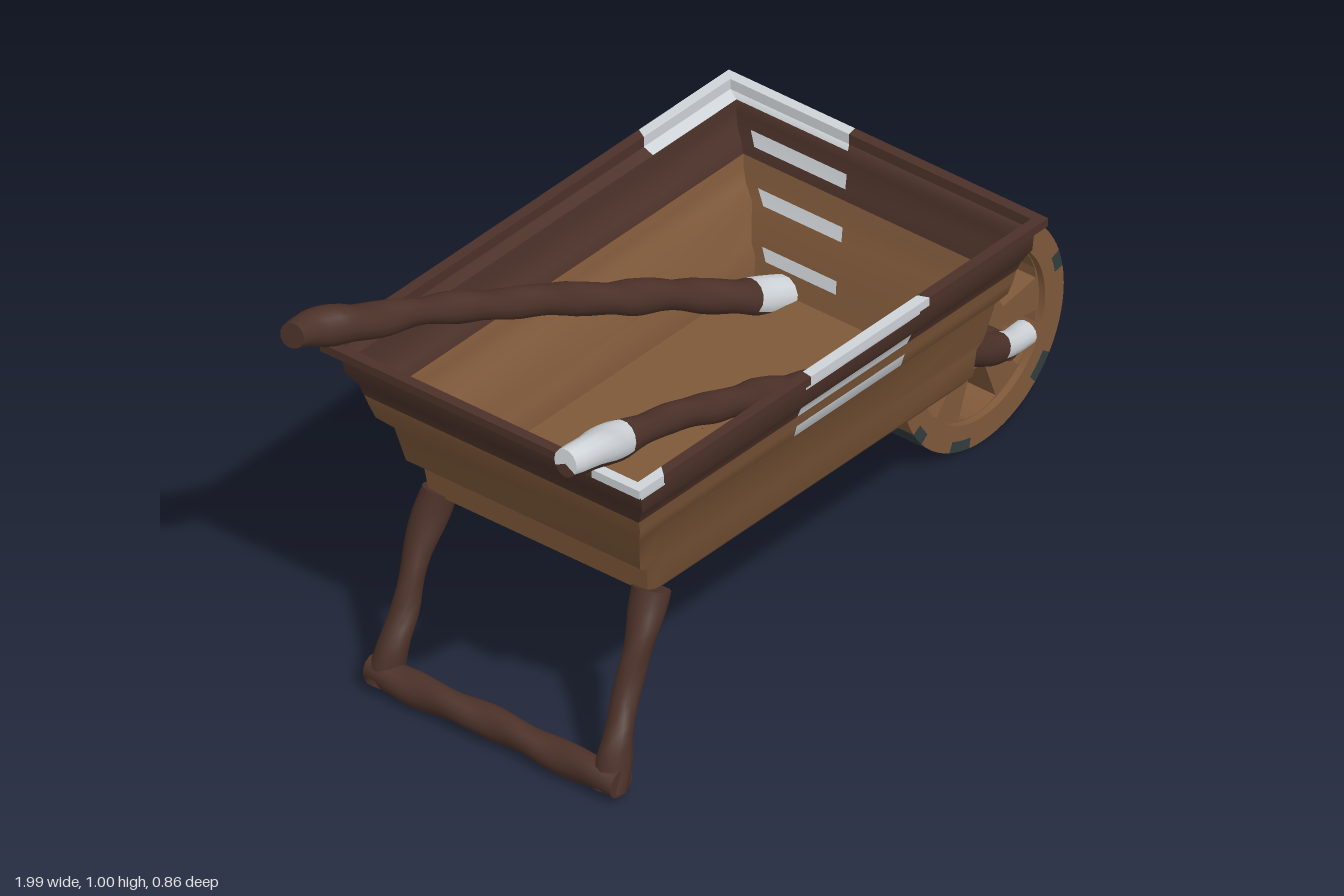
import * as THREE from 'three';
import { toCreasedNormals } from 'three/addons/utils/BufferGeometryUtils.js';

const mat = (name, color) => Object.assign(new THREE.MeshStandardMaterial({ color }), { name });
const WOOD = 0, DARK = 1, PALE = 2, SLATE = 3;
const V = (x, y, z) => new THREE.Vector3(x, y, z);

// Skin rows of points with quads; pick(i, j) gives the colour of each quad
function skin(rows, pick, crease) {
  const buckets = [[], [], [], []];
  for (let i = 0; i < rows.length - 1; i++) {
    for (let j = 0; j < rows[i].length - 1; j++) {
      const a = rows[i][j], b = rows[i][j + 1], c = rows[i + 1][j + 1], d = rows[i + 1][j];
      for (const p of [a, b, c, a, c, d]) buckets[pick(i, j)].push(p.x, p.y, p.z);
    }
  }
  const geo = new THREE.BufferGeometry();
  geo.setAttribute('position', new THREE.Float32BufferAttribute(buckets.flat(), 3));
  let start = 0;
  buckets.forEach((b, k) => {
    if (b.length) geo.addGroup(start, b.length / 3, k);
    start += b.length / 3;
  });
  return toCreasedNormals(geo, crease);
}

// Gnarled pole along a path; radii are spread evenly over its length
function pole(path, radii, seed, pick = () => DARK) {
  const curve = new THREE.CatmullRomCurve3(path);
  const N = Math.max(16, Math.round(curve.getLength() * 36)), S = 14;
  const rows = [], centres = [];
  for (let i = -1; i <= N + 1; i++) {
    const u = THREE.MathUtils.clamp(i / N, 0, 1);
    const c = curve.getPointAt(u), t = curve.getTangentAt(u);
    const side = t.clone().cross(V(0, 1, 0)).normalize();
    const up = side.clone().cross(t);
    const f = u * (radii.length - 1), k = Math.min(Math.floor(f), radii.length - 2);
    const base = i < 0 || i > N ? 0.0005 : THREE.MathUtils.lerp(radii[k], radii[k + 1], f - k);
    const row = [];
    for (let j = 0; j <= S; j++) {
      const a = -j / S * Math.PI * 2;
      const r = base * (1 + 0.07 * Math.sin(i * 0.9 + seed + 2 * a) + 0.06 * Math.sin(i * 0.47 + seed * 3 - a));
      row.push(c.clone().addScaledVector(side, r * Math.cos(a)).addScaledVector(up, r * Math.sin(a)));
    }
    rows.push(row);
    centres.push(c);
  }
  return skin(rows, (i, j) => pick(centres[i].x, Math.sin(-(j + 0.5) / S * Math.PI * 2)), 1.2);
}

// Tray: stacked planks outside, over the rim and down the inside to the floor
function tray() {
  const outer = [ // y, back x, front x, half width
    [0.41, -0.101, -0.1, 0.001], [0.41, -0.6, 0.4, 0.28], [0.43, -0.63, 0.42, 0.295],
    [0.495, -0.64, 0.425, 0.3], [0.525, -0.68, 0.43, 0.315], [0.61, -0.7, 0.45, 0.33],
    [0.64, -0.73, 0.46, 0.355], [0.672, -0.74, 0.465, 0.365], [0.7, -0.75, 0.47, 0.37],
    [0.725, -0.755, 0.475, 0.38], [0.755, -0.775, 0.485, 0.4], [0.785, -0.78, 0.487, 0.402],
    [0.81, -0.785, 0.49, 0.405], [0.82, -0.82, 0.5, 0.43], [0.84, -0.82, 0.5, 0.43],
  ].map((r, k) => ({ k, r }));
  const inner = outer.slice(3).reverse().map(({ k, r: [y, b, f, w] }) =>
    ({ k, r: [k === 14 ? y : y - 0.005, b + 0.025, f - 0.025, w - 0.025] }));
  const levels = [...outer, ...inner,
    { k: 1, r: [0.44, -0.61, 0.39, 0.27] }, { k: 0, r: [0.44, -0.101, -0.1, 0.001] }];
  const breaks = [[0, 0.06, 0.42, 0.71], [0, 0.605, 0.95], [0, 0.22], [0, 0.85]];
  const cells = breaks.flatMap((list, side) => list.map(t => ({ side, t })));
  const rows = levels.map(({ r: [y, b, f, w] }) => {
    const c = [V(b, y, w), V(f, y, w), V(f, y, -w), V(b, y, -w)];
    return [...cells, cells[0]].map(({ side, t }) => c[side].clone().lerp(c[(side + 1) % 4], t));
  });
  // Worn pale patches on the planks and rim
  const worn = (k, side, t) => [
    (t === 0.42 && (k >= 11 || k === 8 || k === 6)) || (t === 0 && k >= 11),
    (t >= 0.6 && k >= 12) || (t === 0.605 && [3, 5, 9].includes(k)),
    t === 0 && k >= 12,
    t === 0.85 && k >= 13,
  ][side];
  return skin(rows, (i, j) => {
    const k = Math.min(levels[i].k, levels[i + 1].k);
    return worn(k, cells[j].side, cells[j].t) ? PALE : k >= 8 ? DARK : WOOD;
  }, 0.7);
}

// Wheel rim with patches of worn tyre
function rim() {
  const profile = [[0.2, -0.057], [0.235, -0.057], [0.26, -0.057], [0.26, 0.057], [0.235, 0.057], [0.2, 0.057], [0.2, -0.057]];
  const S = 72;
  const rows = profile.map(([r, z]) => Array.from({ length: S + 1 }, (_, j) => {
    const a = j / S * Math.PI * 2;
    return V(r * Math.cos(a), r * Math.sin(a), z);
  }));
  const within = (a, ranges) => ranges.some(([lo, hi]) => a > lo && a < hi);
  return skin(rows, (i, j) => {
    const a = (j + 0.5) * 360 / S;
    if (i === 2) {
      if (within(a, [[20, 25], [30, 135]])) return PALE;
      return within(a, [[10, 20], [135, 190], [210, 225], [235, 285], [290, 345]]) ? SLATE : WOOD;
    }
    if (i === 1 || i === 3) {
      if (within(a, [[45, 130]])) return PALE;
      return within(a, [[10, 20], [170, 190], [210, 220], [245, 260], [310, 325]]) ? SLATE : WOOD;
    }
    return WOOD;
  }, 0.5);
}

// Spoked plate with six tapered openings
function spokes() {
  const plate = new THREE.Shape().absarc(0, 0, 0.203, 0, Math.PI * 2);
  for (let i = 0; i < 6; i++) {
    const turn = i * Math.PI / 3;
    const pts = [[-0.022, 0.085], [0.022, 0.085], [0.06, 0.185], [0.035, 0.195], [0, 0.199], [-0.035, 0.195], [-0.06, 0.185]];
    plate.holes.push(new THREE.Path(pts.map(([x, y]) =>
      new THREE.Vector2(x, y).rotateAround(new THREE.Vector2(), turn))));
  }
  const geo = new THREE.ExtrudeGeometry(plate, { depth: 0.08, bevelEnabled: false, curveSegments: 48 });
  return geo.translate(0, 0, -0.04);
}

export function createModel() {
  const materials = [mat('wood', 0x80593a), mat('darkWood', 0x4c3229), mat('paleWear', 0xcfd4d8), mat('slateTyre', 0x323d3f)];
  const model = new THREE.Group();
  model.name = 'wheelbarrow';
  const add = (name, geo, material = materials, parent = model) => {
    const mesh = new THREE.Mesh(geo, material);
    mesh.name = name;
    parent.add(mesh);
    return mesh;
  };

  add('tray', tray());

  for (const s of [1, -1]) {
    const label = s > 0 ? 'front' : 'back';
    // Long handle running through the tray to the axle
    const handle = [[-0.985, 0.968, 0.368], [-0.93, 0.957, 0.368], [-0.8, 0.92, 0.345], [-0.5, 0.82, 0.305],
      [0, 0.61, 0.25], [0.38, 0.44, 0.195], [0.55, 0.37, 0.165], [0.7, 0.295, 0.145], [0.78, 0.282, 0.135]]
      .map(([x, y, z]) => V(x, y, z * s));
    const radii = [0.03, 0.045, 0.037, 0.03, 0.034, 0.032, 0.036, 0.034, 0.038, 0.034, 0.036, 0.04, 0.042, 0.038, 0.033, 0.028];
    const worn = s > 0 ? x => x < -0.78 || x > 0.65 : x => x > 0.28;
    add(label + 'Handle', pole(handle, radii, 2 + s, (x, up) => worn(x) && up > -0.3 ? PALE : DARK));
    // Leg
    const leg = [[-0.61, 0.43, 0.285], [-0.66, 0.31, 0.295], [-0.71, 0.18, 0.293], [-0.74, 0.11, 0.3], [-0.768, 0.018, 0.305]]
      .map(([x, y, z]) => V(x, y, z * s));
    add(label + 'Leg', pole(leg, [0.04, 0.037, 0.031, 0.028, 0.03, 0.038, 0.036], 5 + s));
  }
  add('footBar', pole([V(-0.765, 0.042, 0.335), V(-0.765, 0.044, 0), V(-0.765, 0.042, -0.335)],
    [0.034, 0.036, 0.033, 0.034, 0.033, 0.036, 0.034], 1));

  const wheel = new THREE.Group();
  wheel.name = 'wheel';
  wheel.position.set(0.738, 0.262, 0);
  model.add(wheel);
  add('rim', rim(), materials, wheel);
  add('spokes', spokes(), materials[WOOD], wheel);
  const axle = new THREE.CylinderGeometry(0.026, 0.026, 0.27, 16).rotateX(Math.PI / 2);
  add('axle', axle, materials[DARK], wheel);
  return model;
}
